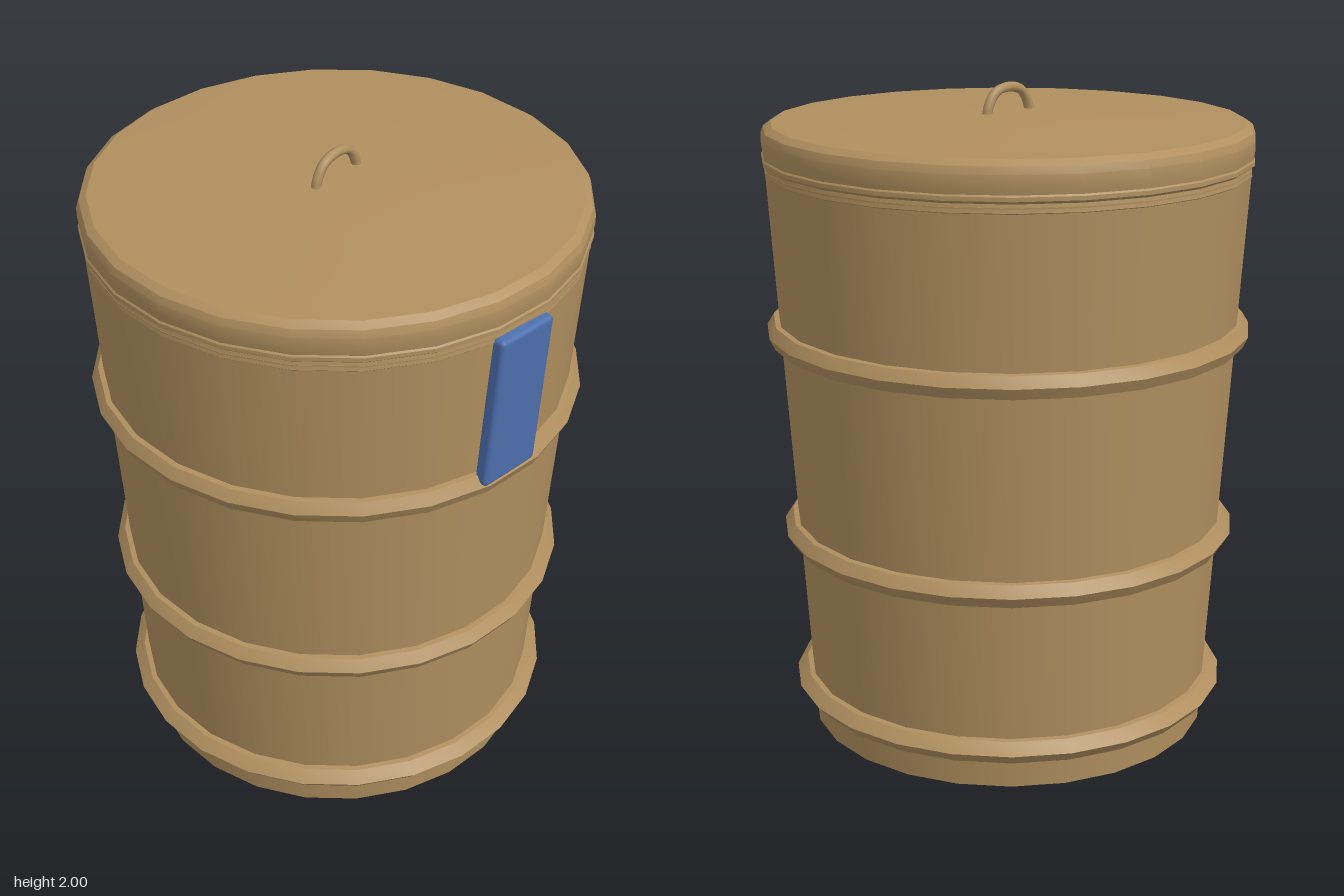
import * as THREE from 'three';
import { toCreasedNormals } from 'three/addons/utils/BufferGeometryUtils.js';
import { RoundedBoxGeometry } from 'three/addons/geometries/RoundedBoxGeometry.js';

const SIDES = 24;
const wallRadius = (y) => 0.622 + 0.064 * y;

export function createModel() {
  const group = new THREE.Group();
  const tan = new THREE.MeshStandardMaterial({ color: 0xb08f5f });
  const blue = new THREE.MeshStandardMaterial({ color: 0x4d6fae });

  const add = (name, geometry, material = tan) => {
    const mesh = new THREE.Mesh(geometry, material);
    mesh.name = name;
    group.add(mesh);
    return mesh;
  };
  // Turned part with crisp profile corners and smooth sides
  const turned = (points) => toCreasedNormals(
    new THREE.LatheGeometry(points.map(([r, y]) => new THREE.Vector2(r, y)), SIDES), 0.4);

  // Tapered body, closed at the bottom
  add('body', turned([[0, 0], [wallRadius(0), 0], [wallRadius(1.76), 1.76], [0, 1.76]]));

  // Ridged hoops around the body
  [[0.125, 0.68], [0.63, 0.705], [1.26, 0.741]].forEach(([y, r], i) => {
    add('hoop' + (i + 1), turned([
      [wallRadius(y) - 0.01, y - 0.037], [wallRadius(y) + 0.022, y - 0.034], [r, y],
      [wallRadius(y) + 0.018, y + 0.033], [wallRadius(y) - 0.01, y + 0.037],
    ]));
  });

  // Lid with a rolled rim, bevelled shoulder and shallow dome
  add('lid', turned([
    [0.715, 1.725], [0.736, 1.745], [0.732, 1.77], [0.742, 1.778], [0.742, 1.79],
    [0.738, 1.795], [0.742, 1.82], [0.742, 1.85], [0.734, 1.872], [0.712, 1.888],
    [0.3, 1.91], [0, 1.914],
  ]));

  // Arched lid handle
  const path = new THREE.CatmullRomCurve3([
    [-0.092, 1.9], [-0.083, 1.935], [-0.055, 1.972], [0, 1.985],
    [0.055, 1.972], [0.083, 1.935], [0.092, 1.9],
  ].map(([x, y]) => new THREE.Vector3(x, y, 0)));
  add('handle', new THREE.TubeGeometry(path, 16, 0.015, 8));

  // Label plate leaning with the front wall
  const plate = add('labelPlate', new RoundedBoxGeometry(0.212, 0.495, 0.045, 2, 0.014), blue);
  plate.position.set(-0.105, 1.508, 0.716);
  plate.rotation.set(0.05, -0.1, -0.025);

  return group;
}
